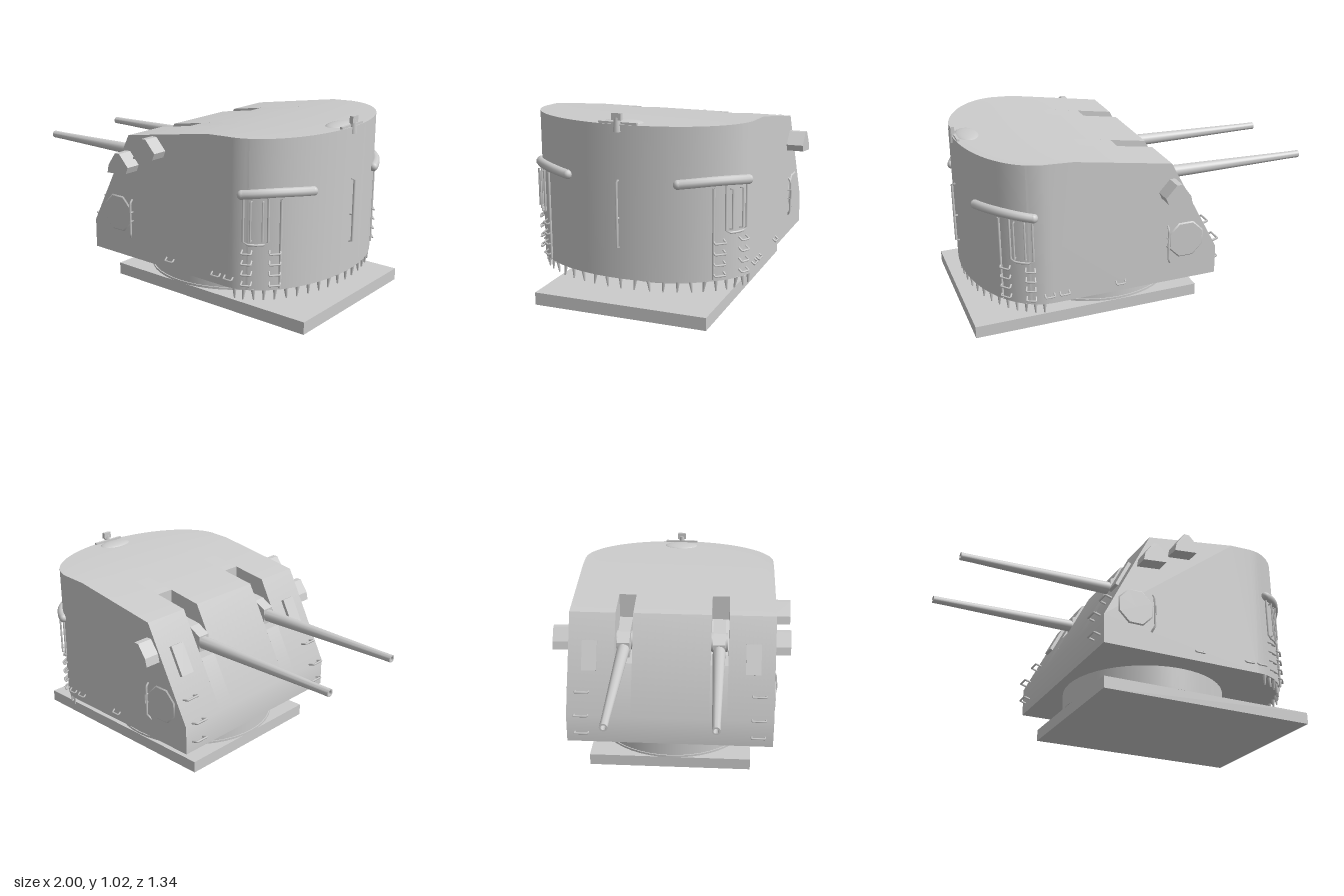
import * as THREE from 'three';
import { mergeGeometries, toCreasedNormals } from 'three/addons/utils/BufferGeometryUtils.js';

const grey = new THREE.MeshStandardMaterial({ color: 0xcccccc, side: THREE.DoubleSide });
const V = (x, y, z) => new THREE.Vector3(x, y, z);
const HALF = 0.582; // half width of the gunhouse
const backX = z => 0.6 + 0.36 * Math.sqrt(Math.max(0, 1 - (z / HALF) ** 2));
// point on the curved rear wall; a = 0 is dead astern, +-PI/2 the sides
const wall = (a, y, off = 0) => V(0.6 + (0.36 + off) * Math.cos(a), y, (HALF + off) * Math.sin(a));

export function createModel() {
  const root = new THREE.Group();
  root.name = 'gunTurret';

  const add = (name, geo, x = 0, y = 0, z = 0) => {
    const m = new THREE.Mesh(geo, grey);
    m.name = name;
    m.position.set(x, y, z);
    root.add(m);
    return m;
  };
  const box = (name, w, h, d, x, y, z) => add(name, new THREE.BoxGeometry(w, h, d), x, y, z);
  // bent rod through a few points, with straight legs
  const rod = (name, pts, r = 0.006) => {
    const path = new THREE.CurvePath();
    for (let i = 1; i < pts.length; i++) path.add(new THREE.LineCurve3(pts[i - 1], pts[i]));
    return add(name, new THREE.TubeGeometry(path, (pts.length - 1) * 4, r, 6));
  };
  const polygon = pts => new THREE.Shape(pts.map(p => new THREE.Vector2(...p)));
  const slab = (pts, depth) => new THREE.ExtrudeGeometry(polygon(pts), { depth, bevelEnabled: false });

  // Gunhouse: side profile extruded across in strips, with notches at the guns
  const low = [[-0.32, 0.19], [-0.32, 0.35]];
  const rear = [[0.48, 0.955], [0.9, 0.96], [0.9, 0.19]];
  const solid = [...low, [-0.05, 0.87], ...rear];
  const notched = [...low, [-0.18, 0.62], [-0.04, 0.62], [0.15, 0.76], [0.15, 0.902], ...rear];
  const strip = (z0, z1, pts, steps) => {
    const g = new THREE.ExtrudeGeometry(polygon(pts), { depth: z1 - z0, steps, bevelEnabled: false });
    g.translate(0, 0, z0);
    const p = g.attributes.position;
    for (let i = 0; i < p.count; i++) if (p.getX(i) > 0.55) p.setX(i, backX(p.getZ(i)));
    return g;
  };
  const strips = [
    strip(-HALF, -0.55, solid, 10), strip(-0.55, -0.32, solid, 10), strip(-0.32, -0.22, notched, 4),
    strip(-0.22, 0.22, solid, 10),
    strip(0.22, 0.32, notched, 4), strip(0.32, 0.55, solid, 10), strip(0.55, HALF, solid, 10),
  ];
  add('gunhouse', toCreasedNormals(mergeGeometries(strips), 0.5));

  // Deck plate and ring below
  box('deckPlate', 1.26, 0.066, 0.926, 0.367, 0.033, -0.003);
  add('barbette', new THREE.CylinderGeometry(0.456, 0.456, 0.13, 48), 0.195, 0.13, 0);
  add('barbetteFlange', new THREE.CylinderGeometry(0.462, 0.462, 0.012, 48), 0.195, 0.072, 0);

  // Guns: lathed barrels, cradles in the notches
  for (const z of [-0.27, 0.266]) {
    const profile = [[0, 0], [0.04, 0], [0.036, 0.1], [0.033, 0.3], [0.021, 0.93], [0.021, 1], [0.013, 1], [0.013, 0.95], [0, 0.95]];
    const barrel = add('gunBarrel', toCreasedNormals(
      new THREE.LatheGeometry(profile.map(p => new THREE.Vector2(...p)), 20), 0.6), 0, 0.69, z);
    barrel.rotation.z = Math.PI / 2 + 0.01;
    add('gunCradle', slab([[-0.15, 0.64], [-0.15, 0.73], [-0.08, 0.77], [0.08, 0.79], [0.1, 0.66]], 0.07), 0, 0, z - 0.035);
    const trunnion = add('gunTrunnion', new THREE.CylinderGeometry(0.055, 0.055, 0.096, 18), -0.02, 0.69, z);
    trunnion.rotation.x = Math.PI / 2;
  }

  // Sight hoods standing out from the sides
  const hood = (x, y, s) => {
    const g = slab([[-0.075, -0.06], [-0.065, -0.015], [-0.015, 0.055], [0.015, 0.055], [0.075, -0.01], [0.06, -0.045]], 0.1);
    add('sightHood', g, x, y, s > 0 ? 0.565 : -0.673);
  };
  hood(-0.055, 0.73, 1);
  hood(0.135, 0.835, 1);
  hood(-0.055, 0.73, -1);

  // Periscope on the roof at the rear
  const dome = add('roofDome', new THREE.SphereGeometry(0.07, 20, 10, 0, Math.PI * 2, 0, Math.PI / 2), 0.88, 0.955, 0);
  dome.scale.set(0.9, 0.25, 1.5);
  add('periscopePost', new THREE.CylinderGeometry(0.014, 0.02, 0.07, 12), 0.955, 0.96, 0);
  box('periscopeHead', 0.02, 0.035, 0.05, 0.957, 0.998, 0);
  box('periscopeBracket', 0.014, 0.012, 0.2, 0.945, 0.965, 0);

  // Rear grab rail
  rod('rearRail', [V(0.95, 0.69, 0), V(0.978, 0.69, 0), V(0.978, 0.35, 0), V(0.95, 0.35, 0)], 0.007);
  rod('rearRailStay', [V(0.95, 0.5, 0), V(0.978, 0.5, 0)]);

  for (const s of [-1, 1]) {
    // Canopy over the rear doorway, following the wall
    const arc = [];
    for (let i = 0; i <= 8; i++) arc.push(wall(s * (0.52 + 0.1 * i), 0.683 + 0.012 * Math.sin(i / 8 * Math.PI), 0.008));
    const canopy = add('doorCanopy', new THREE.TubeGeometry(new THREE.CatmullRomCurve3(arc), 24, 0.024, 10));
    for (const e of [arc[0], arc[8]]) add('canopyEnd', new THREE.SphereGeometry(0.024, 12, 8), e.x, e.y, e.z);
    canopy.castShadow = false;

    // Door frame, handles and rungs below it
    rod('doorFrame', [wall(s * 1.0, 0.67, 0.006), wall(s * 1.0, 0.43, 0.006), wall(s * 1.15, 0.43, 0.01),
      wall(s * 1.3, 0.43, 0.006), wall(s * 1.3, 0.67, 0.006)]);
    for (const a of [1.06, 1.2]) rod('doorBar', [wall(s * a, 0.65), wall(s * a, 0.65, 0.02), wall(s * a, 0.45, 0.02), wall(s * a, 0.45)], 0.005);
    for (const a of [0.92, 1.25]) for (let i = 0; i < 4; i++) {
      const y = 0.22 + 0.055 * i;
      rod('stepRung', [wall(s * (a - 0.06), y + 0.015), wall(s * (a - 0.06), y, 0.022), wall(s * (a + 0.06), y, 0.022), wall(s * (a + 0.06), y + 0.015)], 0.005);
    }
    rod('wallPipe', [wall(s * 0.86, 0.66, 0.006), wall(s * 0.86, 0.2, 0.006)], 0.007);

    // Many-sided hatch and rail on the side, near the front
    const hatch = add('sideHatch', new THREE.CylinderGeometry(0.1, 0.112, 0.01, 8), -0.14, 0.425, s * 0.583);
    hatch.rotation.set(s * Math.PI / 2, Math.PI / 8, 0, 'XYZ');
    rod('sideRail', [V(-0.035, 0.52, s * 0.58), V(-0.035, 0.5, s * 0.597), V(-0.035, 0.33, s * 0.597), V(-0.05, 0.3, s * 0.58)]);
    rod('sideHandle', [V(-0.03, 0.45, s * 0.58), V(-0.03, 0.45, s * 0.603), V(-0.03, 0.4, s * 0.603), V(-0.03, 0.4, s * 0.58)], 0.004);
    for (const x of [0.21, 0.52, 0.6]) rod('footRung', [V(x, 0.25, s * 0.58), V(x, 0.235, s * 0.597), V(x + 0.05, 0.235, s * 0.597), V(x + 0.05, 0.25, s * 0.58)], 0.005);

    // Sight port on the sloping front
    const port = box('frontSightPort', 0.03, 0.17, 0.085, -0.165, 0.655, s * 0.46);
    port.rotation.z = -0.479;

    // Front climbing rungs
    for (const [x, y] of [[-0.32, 0.25], [-0.32, 0.36], [-0.255, 0.475]])
      rod('frontRung', [V(x, y, s * 0.46), V(x - 0.035, y + 0.01, s * 0.46), V(x - 0.035, y + 0.01, s * 0.535), V(x, y, s * 0.535)]);
  }

  // Pegs hanging beneath the rear edge
  for (let i = 0; i < 23; i++) {
    const p = wall(-1.43 + 0.13 * i, 0.165, -0.012);
    const peg = add('hangingPeg', new THREE.CylinderGeometry(0.011, 0.004, 0.06, 6), p.x, p.y, p.z);
    peg.rotation.x = 0.15 * Math.sin(i * 2.3);
  }
  return root;
}
